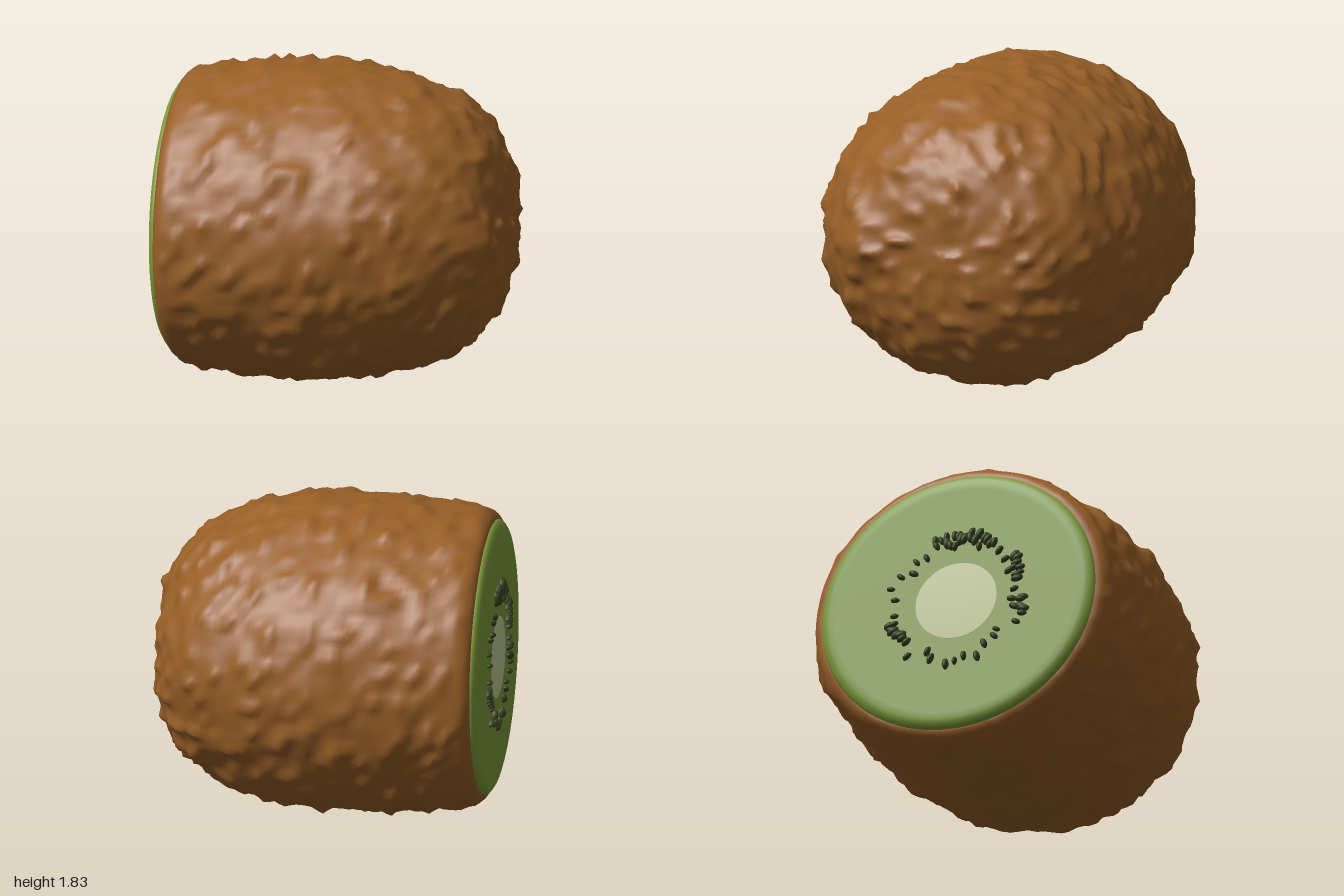
import * as THREE from 'three';
import { mergeVertices, mergeGeometries } from 'three/addons/utils/BufferGeometryUtils.js';

const CENTER_Y = 0.91, RY = 0.905, RZ = 0.98;

const mat = (name, color) => {
  const m = new THREE.MeshStandardMaterial({ color });
  m.name = name;
  return m;
};

function seeded(seed) {
  return () => {
    seed = (seed * 1664525 + 1013904223) >>> 0;
    return seed / 4294967296;
  };
}

// smooth 3D value noise in the range -1..1
function hash(x, y, z) {
  let h = Math.imul(x, 374761393) ^ Math.imul(y, 668265263) ^ Math.imul(z, 2147483647 - 1274126);
  h = Math.imul(h ^ (h >>> 13), 1274126177);
  return ((h ^ (h >>> 16)) >>> 0) / 2147483648 - 1;
}
function noise(x, y, z) {
  const i = Math.floor(x), j = Math.floor(y), k = Math.floor(z);
  const s = (t) => t * t * (3 - 2 * t);
  const u = s(x - i), v = s(y - j), w = s(z - k);
  let sum = 0;
  for (let a = 0; a < 2; a++) for (let b = 0; b < 2; b++) for (let c = 0; c < 2; c++) {
    sum += hash(i + a, j + b, k + c) * (a ? u : 1 - u) * (b ? v : 1 - v) * (c ? w : 1 - w);
  }
  return sum;
}

// turned body lying along x, from [x, radius] points, slightly wider than tall
function turned(points, segments) {
  const g = new THREE.LatheGeometry(points.map(([x, r]) => new THREE.Vector2(r, x)), segments);
  g.rotateZ(-Math.PI / 2);
  g.scale(1, RY, RZ);
  return g;
}

// furry skin: smooth profile roughened by noise
function skinGeometry() {
  const profile = [[-0.905, 0.8], [-0.915, 0.85], [-0.895, 0.89], [-0.84, 0.925], [-0.7, 0.95],
    [-0.5, 0.975], [-0.2, 0.99], [0.1, 0.975], [0.35, 0.925], [0.6, 0.825], [0.75, 0.72],
    [0.87, 0.56], [0.935, 0.38], [0.96, 0.2], [0.965, 0]];
  const curve = new THREE.SplineCurve(profile.map(([x, r]) => new THREE.Vector2(x, r)));
  const pts = curve.getSpacedPoints(80).map((p) => [p.x, Math.max(0, p.y)]);
  pts[pts.length - 1][1] = 0;
  let g = turned(pts, 130);
  g.deleteAttribute('uv');
  g.deleteAttribute('normal');
  g = mergeVertices(g, 1e-4);
  const pos = g.attributes.position, v = new THREE.Vector3(), n = new THREE.Vector3();
  for (let i = 0; i < pos.count; i++) {
    v.fromBufferAttribute(pos, i);
    n.set(Math.max(0, v.x) ** 3, v.y, v.z).normalize();
    const fade = THREE.MathUtils.smoothstep(v.x, -0.91, -0.75);
    const fine = noise(v.x * 13 + 40, v.y * 13 + 40, v.z * 13 + 40);
    const broad = noise(v.x * 5 + 9, v.y * 5 + 9, v.z * 5 + 9);
    const d = (0.25 + 0.75 * fade) * (0.03 * Math.max(0, fine) ** 1.5 + 0.012 * fine + 0.014 * broad - 0.008);
    // soft lump on the rounded end
    const lump = v.x > 0.5 ? 0.08 * Math.exp(-((v.y - 0.03) ** 2 + (v.z - 0.56) ** 2) / 0.02) : 0;
    v.addScaledVector(n, d);
    pos.setXYZ(i, v.x + lump, v.y, v.z);
  }
  g.computeVertexNormals();
  return g;
}

// small pips ringed around the core, denser in a few clumps
function seedGeometry() {
  const rand = seeded(11), list = [];
  const add = (angle, radius, size) => {
    const s = new THREE.SphereGeometry(1, 8, 6);
    s.scale(0.027, size * 0.55, size);
    s.rotateX(-angle + (rand() - 0.5) * 0.7);
    s.translate(-0.951, Math.sin(angle) * radius, Math.cos(angle) * radius);
    list.push(s);
  };
  for (let i = 0; i < 34; i++) {
    add((i + rand() * 0.6) / 34 * Math.PI * 2, 0.33 + rand() * 0.09, 0.024 + rand() * 0.012);
  }
  // clumps: start angle, end angle, count
  for (const [a, b, n] of [[55, 110, 14], [10, 32, 7], [-22, -5, 5], [190, 208, 5]]) {
    for (let i = 0; i < n; i++) {
      const t = THREE.MathUtils.degToRad(a + (b - a) * (i + rand()) / n);
      add(t, 0.37 + rand() * 0.06, 0.03 + rand() * 0.012);
    }
  }
  return mergeGeometries(list);
}

export function createModel() {
  const fruit = new THREE.Group();
  fruit.name = 'cutFruit';
  const add = (name, geometry, material) => {
    const m = new THREE.Mesh(geometry, material);
    m.name = name;
    fruit.add(m);
    return m;
  };

  add('skin', skinGeometry(), mat('brown skin', 0x985f27));

  // cut face with a rounded rim
  add('flesh', turned([[-0.95, 0], [-0.95, 0.4], [-0.95, 0.75], [-0.949, 0.79], [-0.943, 0.815],
    [-0.93, 0.838], [-0.915, 0.85], [-0.89, 0.85]], 96), mat('green flesh', 0x7f9c3a));

  // pale middle, a thin plate on the cut face
  add('core', turned([[-0.954, 0], [-0.954, 0.25], [-0.948, 0.256]], 48), mat('pale core', 0xc3cc95));

  add('seeds', seedGeometry(), mat('dark seeds', 0x39441f));

  fruit.position.y = CENTER_Y;
  const root = new THREE.Group();
  root.name = 'fruit';
  root.add(fruit);
  return root;
}
